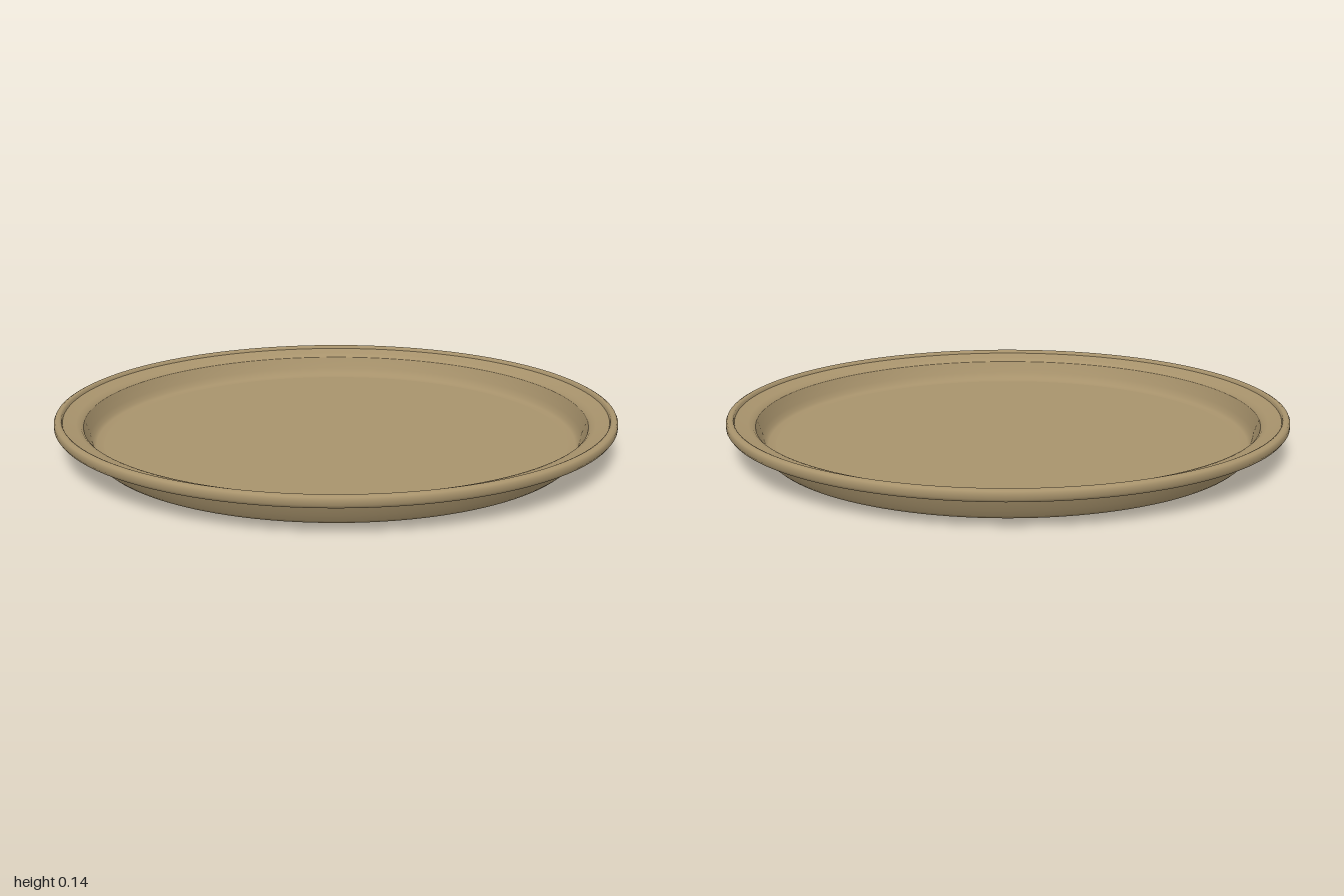
import * as THREE from 'three';

export function createModel() {
  const group = new THREE.Group();
  group.name = 'roundTray';

  const tan = new THREE.MeshStandardMaterial({ color: 0xa8936c });
  tan.name = 'tan';

  // Revolves a [radius, height] profile around the vertical axis
  const addRing = (name, profile) => {
    const points = profile.map(([r, y]) => new THREE.Vector2(r, y));
    const mesh = new THREE.Mesh(new THREE.LatheGeometry(points, 128), tan);
    mesh.name = name;
    group.add(mesh);
  };

  // Underside of the base, with a softly rounded foot
  addRing('base', [[0, 0.005], [0.8, 0.005], [0.845, 0.005], [0.862, 0.008], [0.872, 0.017]]);

  // Flared outer wall
  addRing('outerWall', [[0.872, 0.017], [0.887, 0.04], [0.9, 0.07], [0.908, 0.09], [0.916, 0.097]]);

  // Rolled lip, from its underside round to the inner step
  addRing('lip', [
    [0.916, 0.097], [0.95, 0.097], [0.978, 0.098], [0.993, 0.103], [1, 0.113],
    [1, 0.128], [0.996, 0.136], [0.988, 0.14], [0.98, 0.14], [0.974, 0.137], [0.971, 0.128],
  ]);

  // Shallow ledge inside the lip
  addRing('ledge', [[0.971, 0.128], [0.95, 0.122], [0.925, 0.117], [0.91, 0.113], [0.901, 0.104]]);

  // Inner wall curving down into the flat floor
  addRing('innerWall', [[0.901, 0.104], [0.893, 0.085], [0.882, 0.06], [0.872, 0.042], [0.86, 0.033], [0.835, 0.03]]);
  addRing('floor', [[0.835, 0.03], [0.4, 0.03], [0, 0.03]]);

  return group;
}
